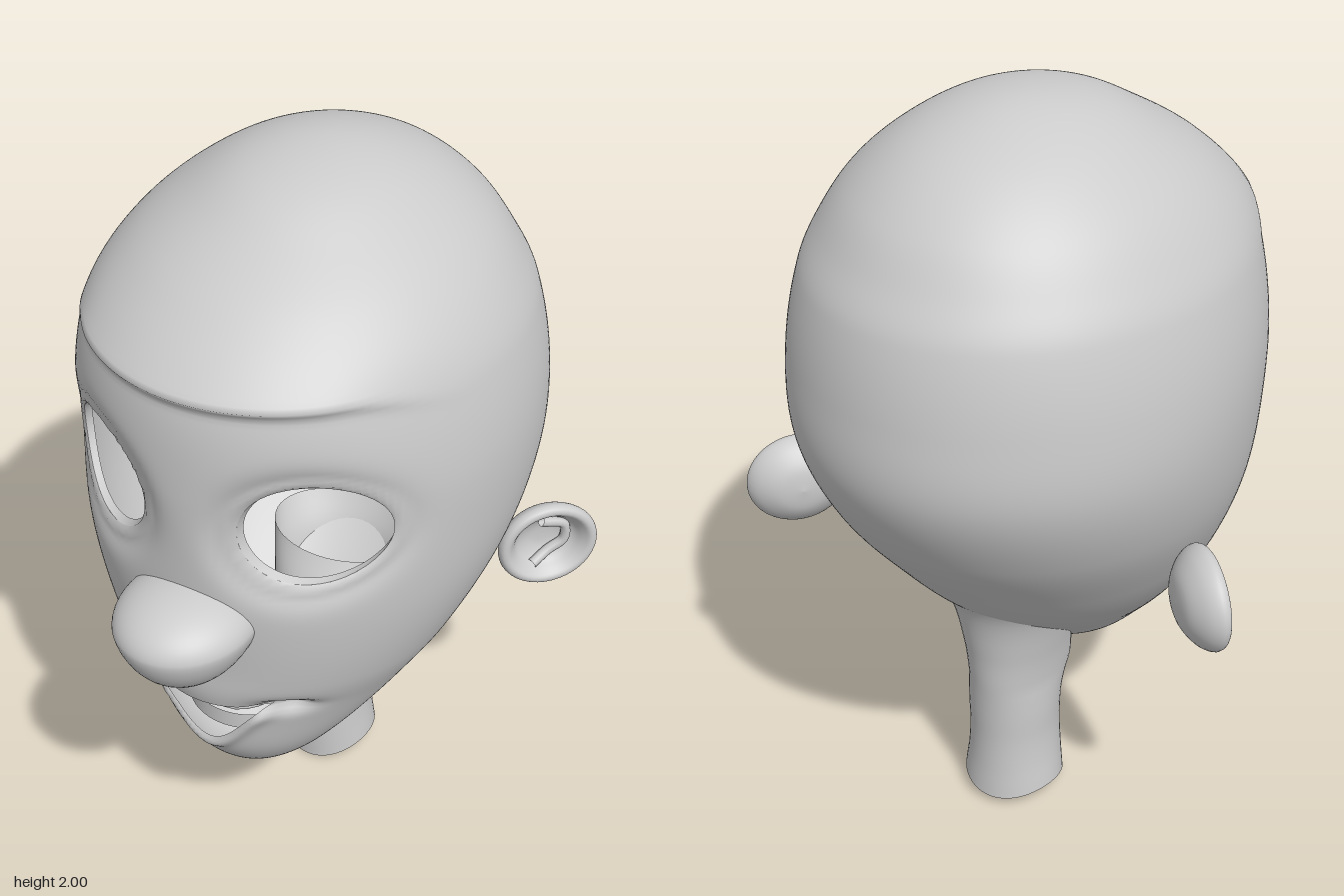
import * as THREE from 'three';

const { smoothstep, clamp } = THREE.MathUtils;
const grey = () => new THREE.MeshStandardMaterial({ color: 0xcccccc, side: THREE.DoubleSide });
const MID = 1.155, HALF = 0.845; // middle and half height of the skull
const gauss = (d, s) => Math.exp(-(d * d) / (s * s));

// Head profile rows: y, front z, back z, half width
const HEAD = [
  [2.0, -0.12, -0.12, 0], [1.97, 0.10, -0.30, 0.17], [1.9, 0.25, -0.46, 0.30], [1.8, 0.415, -0.58, 0.42],
  [1.7, 0.52, -0.65, 0.495], [1.6, 0.558, -0.705, 0.54], [1.4, 0.572, -0.745, 0.577], [1.2, 0.566, -0.745, 0.574],
  [1.0, 0.556, -0.65, 0.538], [0.8, 0.528, -0.49, 0.46], [0.66, 0.485, -0.36, 0.378], [0.5, 0.45, -0.16, 0.262],
  [0.4, 0.385, -0.03, 0.175], [0.34, 0.31, 0.11, 0.09], [0.31, 0.22, 0.22, 0],
];
// Neck profile rows: y, front z, back z, half width
const NECK = [
  [0.74, -0.1, -0.41, 0.2], [0.64, -0.04, -0.36, 0.165], [0.5, 0.0, -0.336, 0.138], [0.4, 0.015, -0.329, 0.127],
  [0.36, -0.02, -0.326, 0.124], [0.3, -0.048, -0.323, 0.122], [0.2, -0.055, -0.32, 0.12], [0.1, -0.056, -0.323, 0.125],
  [0.005, -0.06, -0.33, 0.135],
];

// Smooth interpolation of profile rows along a rising key
function sampler(rows, key) {
  const k = rows.map(key);
  const slope = (i, c) => {
    const a = Math.max(i - 1, 0), b = Math.min(i + 1, rows.length - 1);
    return (rows[b][c] - rows[a][c]) / (k[b] - k[a]);
  };
  return (t) => {
    let i = 0;
    while (i < rows.length - 2 && t > k[i + 1]) i++;
    const h = k[i + 1] - k[i], s = clamp((t - k[i]) / h, 0, 1), s2 = s * s, s3 = s2 * s;
    return [1, 2, 3].map((c) => (2 * s3 - 3 * s2 + 1) * rows[i][c] + (s3 - 2 * s2 + s) * h * slope(i, c)
      + (3 * s2 - 2 * s3) * rows[i + 1][c] + (s3 - s2) * h * slope(i + 1, c));
  };
}
const toPhi = (y) => Math.acos(clamp((y - MID) / HALF, -1, 1));
const headAt = sampler(HEAD, (r) => toPhi(r[0]));
const neckAt = sampler(NECK, (r) => -r[0]);

// Eye and mouth outlines, seen from the front
const EYE = { x: 0.279, y: 1.299, rx: 0.153, ry: 0.145 };
const eyeR = (x, y) => Math.hypot((Math.abs(x) - EYE.x) / EYE.rx, (y - EYE.y) / EYE.ry);
const MOUTH_TOP = 0.718, MOUTH_W = 0.2;
const mouthLow = (x) => MOUTH_TOP - 0.085 * (1 + Math.cos(Math.PI * Math.min(1, Math.abs(x) / MOUTH_W)));

// Modelled relief of the face, added to z
function relief(x, y) {
  const ax = Math.abs(x);
  const d = y - (1.665 - 2 * Math.max(0, ax - 0.33) ** 2);
  const brow = 0.034 * (1 - smoothstep(ax, 0.3, 0.55)) * (d > 0 ? Math.exp(-d / 0.06) : gauss(d, 0.02));
  const r = eyeR(x, y);
  const socket = -0.045 * gauss(Math.max(0, r - 0.9), 0.4) + 0.014 * gauss(r - 1.08, 0.1);
  const upperLip = 0.022 * smoothstep(y, 0.706, 0.718) * gauss(y - 0.718, 0.1) * gauss(x, 0.17);
  const corner = -0.05 * gauss(ax - 0.2, 0.06) * gauss(y - 0.71, 0.03);
  const lip = ax < 0.22 ? 0.022 * gauss(y - mouthLow(x) + 0.025, 0.028) * (1 - smoothstep(ax, 0.13, 0.22)) : 0;
  return brow + socket + upperLip + corner + lip;
}
function faceZ(x, y) {
  const [zf, zb, w] = headAt(toPhi(y));
  const cos = Math.sqrt(Math.max(0, 1 - (x / Math.max(w, 1e-6)) ** 2));
  return (zf + zb) / 2 + (zf - zb) / 2 * cos + relief(x, y) * smoothstep(cos, 0, 0.4);
}

// Grid of closed loops; point(j, i) gives [x, y, z, insideHole]
function loft(rows, cols, point) {
  const pos = [], hole = [], index = [];
  for (let j = 0; j <= rows; j++) for (let i = 0; i < cols; i++) {
    const p = point(j / rows, (i / cols) * Math.PI * 2);
    pos.push(p[0], p[1], p[2]);
    hole.push(p[3]);
  }
  const tri = (...t) => { if (!t.every((v) => hole[v])) index.push(...t); };
  for (let j = 0; j < rows; j++) for (let i = 0; i < cols; i++) {
    const n = (i + 1) % cols, a = j * cols + i, b = j * cols + n, c = a + cols, d = b + cols;
    tri(a, c, b);
    tri(b, c, d);
  }
  const g = new THREE.BufferGeometry();
  g.setAttribute('position', new THREE.Float32BufferAttribute(pos, 3));
  g.setIndex(index);
  g.computeVertexNormals();
  return g;
}

// Head shell; grid points inside an opening slide to its edge
function headPoint(v, a) {
  const [zf, zb, w] = headAt(v * Math.PI);
  let x = w * Math.sin(a), y = MID + HALF * Math.cos(v * Math.PI);
  if (Math.cos(a) <= 0) return [x, y, (zf + zb) / 2 + (zf - zb) / 2 * Math.cos(a), false];
  let inside = false;
  const r = eyeR(x, y), low = mouthLow(x);
  if (r < 1) {
    inside = true;
    const s = Math.sign(x), k = 1 / Math.max(r, 0.05);
    x = s * (EYE.x + (Math.abs(x) - EYE.x) * k);
    y = EYE.y + (y - EYE.y) * k;
  } else if (Math.abs(x) < MOUTH_W && y < MOUTH_TOP && y > low) {
    inside = true;
    y = MOUTH_TOP - y < y - low ? MOUTH_TOP : low;
  }
  return [x, y, faceZ(x, y), inside];
}

function neckPoint(v, a) {
  const y = 0.74 - 0.735 * v, [zf, zb, w] = neckAt(-y);
  const lift = 0.035 * Math.sin(a) ** 2 + 0.012 * (1 - Math.cos(a));
  return [w * Math.sin(a), y + lift * smoothstep(v, 0.6, 1), (zf + zb) / 2 + (zf - zb) / 2 * Math.cos(a), false];
}

// Short inward collar around an eye opening
const collar = (side) => loft(2, 64, (v, a) => {
  const k = 1 - 0.03 * v, x = side * (EYE.x + EYE.rx * Math.sin(a)), y = EYE.y + EYE.ry * Math.cos(a);
  return [side * EYE.x + (x - side * EYE.x) * k, EYE.y + (y - EYE.y) * k, faceZ(x, y) - 0.025 * v, false];
});

// Nose: ball, short above and long and narrow below
function noseGeometry() {
  const g = new THREE.SphereGeometry(1, 48, 32), p = g.attributes.position;
  for (let i = 0; i < p.count; i++) {
    const y = p.getY(i), low = Math.max(0, -y);
    p.setXYZ(i, p.getX(i) * 0.175 * (1 - 0.2 * low), y * (y > 0 ? 0.105 : 0.175), p.getZ(i) * (0.2 - 0.03 * low));
  }
  g.computeVertexNormals();
  return g;
}

// Ear: cupped disc with a rolled rim and an inner fold
function ear(side) {
  const group = new THREE.Group();
  const profile = [[0, -0.065], [0.06, -0.055], [0.105, -0.025], [0.126, 0.008], [0.122, 0.03], [0.106, 0.034],
    [0.09, 0.018], [0.07, -0.008], [0.035, -0.025], [0, -0.028]].map((q) => new THREE.Vector2(...q));
  const smooth = new THREE.SplineCurve(profile).getPoints(40).map((q) => new THREE.Vector2(Math.max(0, q.x), q.y));
  const cup = new THREE.LatheGeometry(smooth, 40).rotateX(Math.PI / 2).scale(1.1, 1, 1);
  const path = [[-0.03, 0.06, 0], [0.04, 0.05, -0.004], [0.055, 0, -0.006], [0.02, -0.04, -0.008], [-0.02, -0.075, 0.006]];
  const fold = new THREE.TubeGeometry(new THREE.CatmullRomCurve3(
    path.map(([x, y, z]) => new THREE.Vector3(side * x, y, z))), 32, 0.014, 8);
  group.add(new THREE.Mesh(cup, grey()), new THREE.Mesh(fold, grey()));
  group.children[0].name = 'earCup';
  group.children[1].name = 'earFold';
  group.position.set(side * 0.58, 0.875, -0.31);
  group.rotation.set(0, side * Math.PI / 4, -side * 0.2);
  return group;
}

export function createModel() {
  const model = new THREE.Group();
  const add = (name, geometry) => {
    const mesh = new THREE.Mesh(geometry, grey());
    mesh.name = name;
    model.add(mesh);
    return mesh;
  };
  add('head', loft(176, 192, headPoint));
  add('neck', loft(40, 48, neckPoint));
  add('nose', noseGeometry()).position.set(0, 1.018, 0.55);
  for (const [side, label] of [[1, 'left'], [-1, 'right']]) {
    add(label + 'EyeRim', collar(side));
    const e = ear(side);
    e.name = label + 'Ear';
    model.add(e);
  }
  // Teeth arcs and tongue
  const arc = (r, h, spread) => new THREE.CylinderGeometry(r, r, h, 24, 1, true, -spread, 2 * spread);
  add('upperTeeth', arc(0.2, 0.07, 0.8)).position.set(0, 0.69, 0.245);
  add('lowerTeeth', arc(0.17, 0.05, 0.7)).position.set(0, 0.57, 0.25);
  const tongue = add('tongue', new THREE.SphereGeometry(1, 24, 16));
  tongue.scale.set(0.11, 0.035, 0.15);
  tongue.position.set(0, 0.59, 0.25);
  return model;
}
